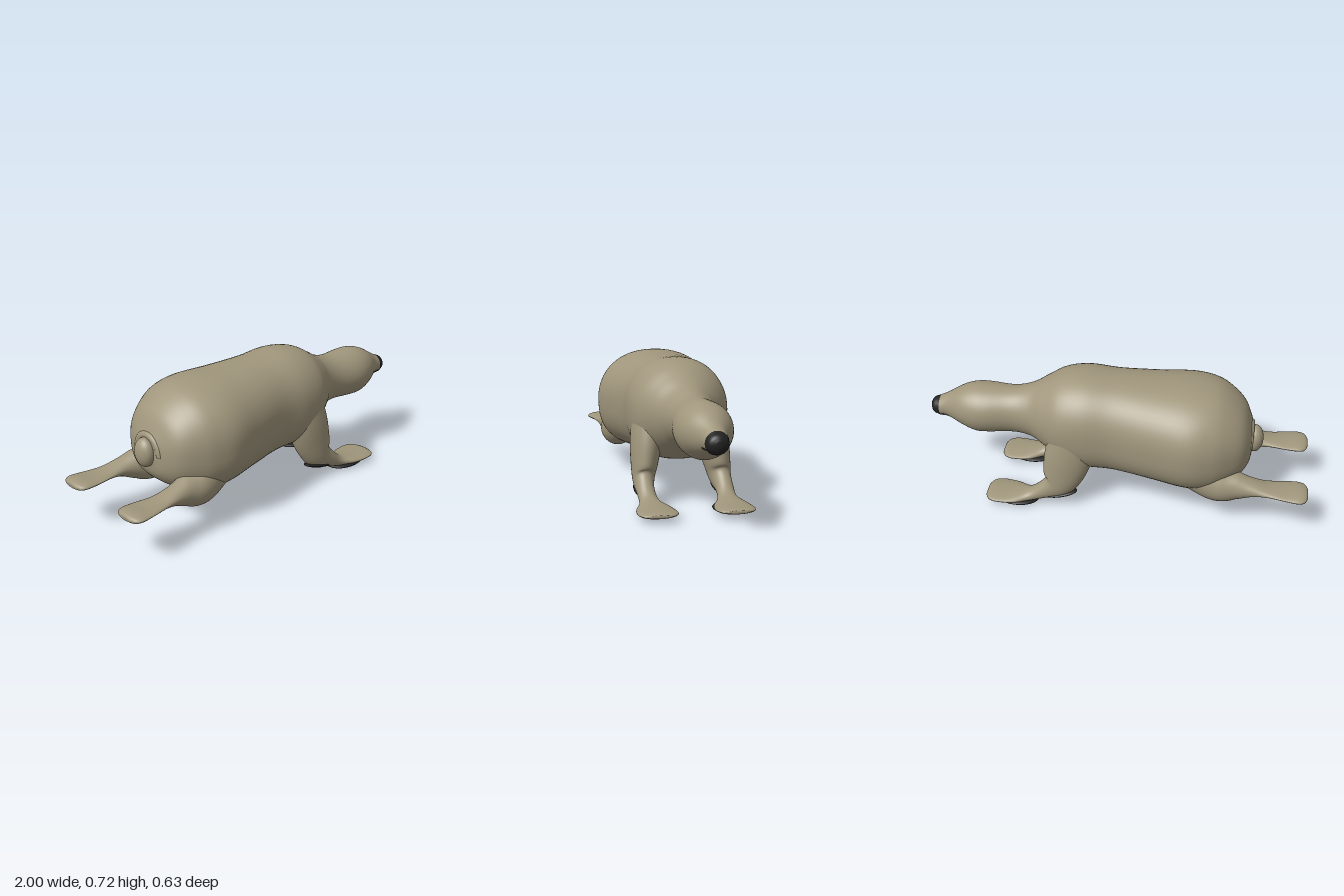
import * as THREE from 'three';

const fur = new THREE.MeshStandardMaterial({ color: 0xa0967c });
fur.name = 'fur';
const black = new THREE.MeshStandardMaterial({ color: 0x222222 });
black.name = 'black skin';

// Smooth closed loft through rows of [x, y, z, halfWidth, halfThickness].
// square(x) gives the cross-section exponents [upper, lower]; faces beyond darkFrom are black.
function loft(name, rows, { upright = false, square = () => [1, 1], darkFrom = Infinity, steps = 6, sides = 40 } = {}) {
  const spline = (f) => new THREE.CatmullRomCurve3(rows.map(f), false, 'catmullrom', 0.5);
  const path = spline((r) => new THREE.Vector3(r[0], r[1], r[2]));
  const size = spline((r) => new THREE.Vector3(r[3], r[4], 0));
  const n = (rows.length - 1) * steps;
  const pos = [], light = [], dark = [];
  const power = (v, e) => Math.sign(v) * Math.abs(v) ** e;
  for (let i = 0; i <= n; i++) {
    const p = path.getPoint(i / n), s = size.getPoint(i / n), t = path.getTangent(i / n);
    const len = Math.hypot(t.x, t.y);
    const ux = upright ? 0 : -t.y / len, uy = upright ? 1 : t.x / len;
    for (let j = 0; j < sides; j++) {
      const a = (j / sides) * Math.PI * 2;
      const e = square(p.x)[Math.sin(a) < 0 ? 1 : 0];
      const v = s.y * power(Math.sin(a), e);
      pos.push(p.x + ux * v, p.y + uy * v, p.z + s.x * power(Math.cos(a), e));
    }
  }
  for (let i = 0; i < n; i++) {
    const faces = path.getPoint((i + 0.5) / n).x > darkFrom ? dark : light;
    for (let j = 0; j < sides; j++) {
      const k = (j + 1) % sides;
      const a = i * sides + j, b = a + sides, c = (i + 1) * sides + k, d = i * sides + k;
      faces.push(a, b, c, a, c, d);
    }
  }
  // End caps
  const first = pos.length / 3;
  pos.push(...path.getPoint(0).toArray(), ...path.getPoint(1).toArray());
  const endFaces = darkFrom < Infinity ? dark : light;
  for (let j = 0; j < sides; j++) {
    const k = (j + 1) % sides;
    light.push(first, j, k);
    endFaces.push(first + 1, n * sides + k, n * sides + j);
  }
  const g = new THREE.BufferGeometry();
  g.setAttribute('position', new THREE.Float32BufferAttribute(pos, 3));
  g.setIndex([...light, ...dark]);
  g.addGroup(0, light.length, 0);
  g.addGroup(light.length, dark.length, 1);
  g.computeVertexNormals();
  const mesh = new THREE.Mesh(g, [fur, black]);
  mesh.name = name;
  return mesh;
}

function ellipsoid(name, material, position, scale, tilt = 0) {
  const mesh = new THREE.Mesh(new THREE.SphereGeometry(1, 32, 20), material);
  mesh.name = name;
  mesh.position.set(...position);
  mesh.scale.set(...scale);
  mesh.rotation.z = tilt;
  return mesh;
}

export function createModel() {
  const model = new THREE.Group();
  model.name = 'animal';

  // Trunk, neck, head and nose: [x, bottom, top, halfWidth]
  const trunk = [
    [-0.705, 0.34, 0.46, 0.06], [-0.69, 0.28, 0.5, 0.13], [-0.65, 0.23, 0.58, 0.2],
    [-0.58, 0.185, 0.645, 0.255], [-0.5, 0.155, 0.685, 0.295], [-0.38, 0.155, 0.7, 0.317],
    [-0.2, 0.175, 0.7, 0.285], [0, 0.195, 0.705, 0.25], [0.16, 0.2, 0.715, 0.253],
    [0.28, 0.22, 0.697, 0.235], [0.37, 0.27, 0.65, 0.185], [0.45, 0.31, 0.605, 0.135],
    [0.55, 0.323, 0.58, 0.118], [0.68, 0.315, 0.582, 0.135], [0.75, 0.315, 0.58, 0.132],
    [0.82, 0.34, 0.56, 0.11], [0.9, 0.372, 0.515, 0.065], [0.95, 0.38, 0.488, 0.055],
    [0.985, 0.392, 0.473, 0.043], [1, 0.42, 0.45, 0.015],
  ].map(([x, lo, hi, w]) => [x, (lo + hi) / 2, 0, w, (hi - lo) / 2]);
  model.add(loft('bodyAndHead', trunk, {
    upright: true, darkFrom: 0.952, sides: 56,
    square: (x) => {
      const f = 1 - THREE.MathUtils.smoothstep(x, 0.1, 0.45);
      return [1 - 0.08 * f, 1 - 0.22 * f];
    },
  }));

  // Tail stub under an arched fold
  model.add(ellipsoid('tail', fur, [-0.713, 0.395, 0], [0.045, 0.075, 0.06]));
  const fold = new THREE.Mesh(new THREE.TorusGeometry(0.085, 0.022, 14, 32, Math.PI), fur);
  fold.name = 'tailFold';
  fold.rotation.y = Math.PI / 2;
  fold.position.set(-0.685, 0.39, 0);
  model.add(fold);

  for (const s of [1, -1]) {
    const side = s > 0 ? 'Near' : 'Far';

    // Front leg and flat foot
    model.add(loft('frontLeg' + side, [
      [0.2, 0.5, 0.15 * s, 0.08, 0.11], [0.23, 0.32, 0.17 * s, 0.08, 0.125],
      [0.26, 0.2, 0.185 * s, 0.067, 0.11], [0.29, 0.13, 0.195 * s, 0.055, 0.082],
      [0.36, 0.085, 0.2 * s, 0.045, 0.05], [0.44, 0.045, 0.195 * s, 0.05, 0.032],
      [0.52, 0.035, 0.19 * s, 0.085, 0.024], [0.6, 0.036, 0.188 * s, 0.097, 0.018],
      [0.65, 0.037, 0.188 * s, 0.085, 0.015], [0.675, 0.037, 0.188 * s, 0.05, 0.008],
    ]));

    // Black pads under the front foot
    model.add(ellipsoid('footPad' + side, black, [0.515, 0.018, 0.188 * s], [0.12, 0.018, 0.085], 0.04));
    model.add(ellipsoid('heelPad' + side, black, [0.285, 0.073, 0.2 * s], [0.1, 0.014, 0.045], -0.22));

    // Hind leg stretched backwards
    model.add(loft('hindLeg' + side, [
      [-0.4, 0.3, 0.17 * s, 0.08, 0.11], [-0.54, 0.235, 0.19 * s, 0.09, 0.1],
      [-0.64, 0.235, 0.2 * s, 0.07, 0.075], [-0.72, 0.238, 0.21 * s, 0.06, 0.043],
      [-0.8, 0.237, 0.213 * s, 0.065, 0.021], [-0.88, 0.236, 0.215 * s, 0.08, 0.016],
      [-0.95, 0.235, 0.218 * s, 0.086, 0.021], [-0.985, 0.233, 0.218 * s, 0.072, 0.019],
      [-1, 0.232, 0.218 * s, 0.04, 0.01],
    ]));

    // Mouth line
    model.add(ellipsoid('mouth' + side, black, [0.91, 0.405, 0.048 * s], [0.045, 0.004, 0.008]));
  }
  return model;
}
